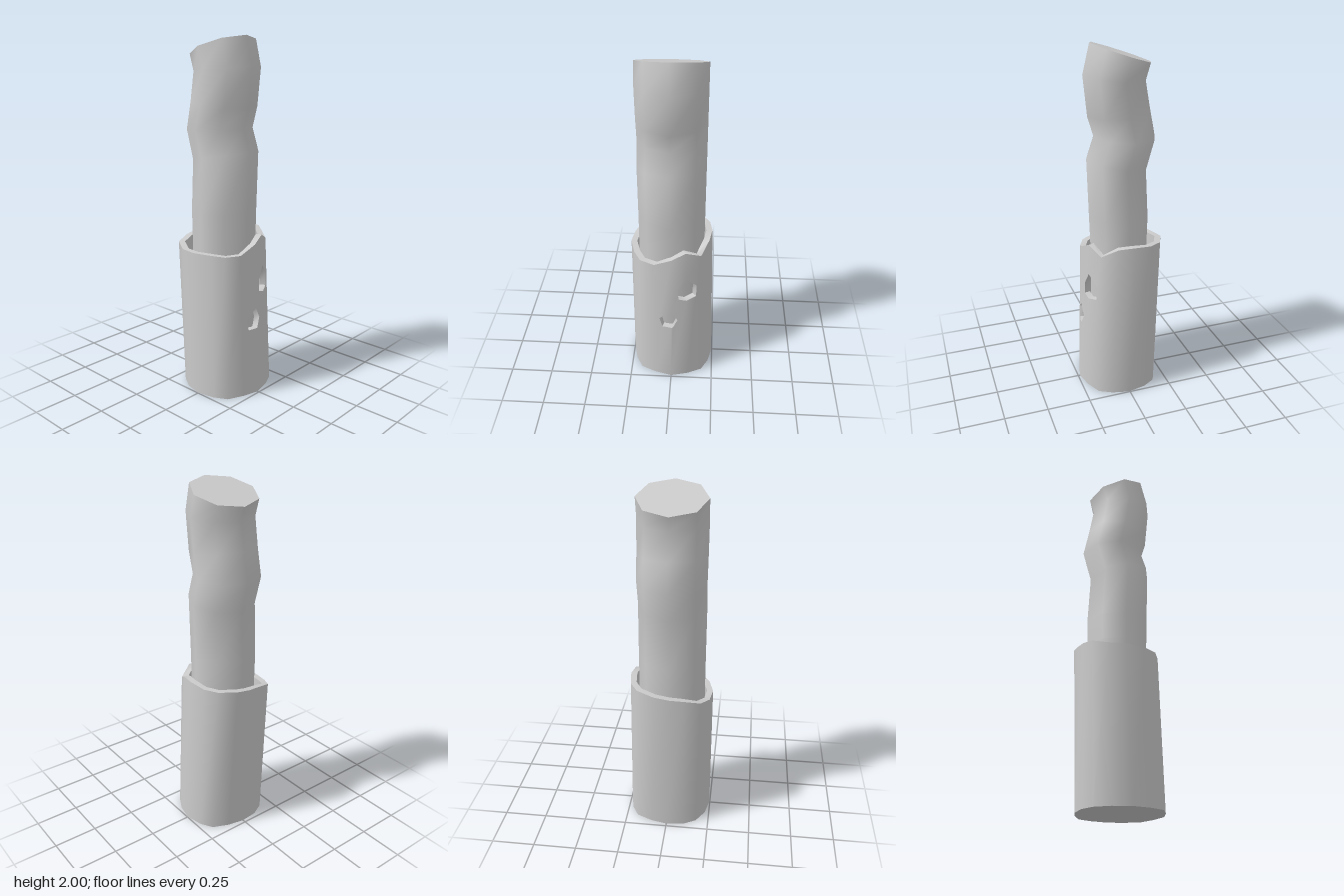
import * as THREE from 'three';
import { mergeGeometries, toCreasedNormals } from 'three/addons/utils/BufferGeometryUtils.js';

const CREASE = Math.PI / 3;
const WALL = 0.035;
const lerp = THREE.MathUtils.lerp;

// Sleeve columns, from the front round by +x: bottom x, z, then top x, z, and rim height
const COLUMNS = [
  [0, 0.24, 0, 0.205, 0.88],
  [0.1, 0.215, 0.08, 0.19, 0.92],
  [0.185, 0.175, 0.165, 0.145, 0.875],
  [0.225, 0.1, 0.21, 0.06, 0.925],
  [0.247, 0.005, 0.225, -0.03, 0.93],
  [0.225, -0.1, 0.21, -0.13, 0.92],
  [0.185, -0.17, 0.165, -0.2, 0.915],
  [0.095, -0.21, 0.065, -0.245, 0.905],
  [0, -0.23, -0.02, -0.243, 0.89],
  [-0.1, -0.22, -0.1, -0.23, 0.88],
  [-0.175, -0.18, -0.19, -0.205, 0.86],
  [-0.225, -0.1, -0.235, -0.125, 0.84],
  [-0.247, 0, -0.248, -0.03, 0.84],
  [-0.225, 0.1, -0.22, 0.08, 0.84],
  [-0.185, 0.175, -0.18, 0.15, 0.835],
  [-0.095, 0.215, -0.1, 0.19, 0.835],
];

// Each hole straddles a column: its halves as (u, y) on the panel before and the panel after
const HOLES = {
  0: {
    before: [[1, 0.39], [0.46, 0.39], [0.28, 0.45], [1, 0.51]],
    after: [[0, 0.39], [0.11, 0.39], [0.41, 0.445], [0, 0.51]],
  },
  1: {
    before: [[1, 0.585], [0.47, 0.6], [0.47, 0.665], [1, 0.74]],
    after: [[0, 0.585], [0.65, 0.6], [0.7, 0.675], [0, 0.74]],
  },
};

// Stick rings: front y, z and back y, z
const RINGS = [
  [0.02, 0.155, 0.02, -0.18],
  [0.9, 0.155, 0.9, -0.185],
  [1.05, 0.16, 1.05, -0.19],
  [1.39, 0.17, 1.33, -0.175],
  [1.51, 0.127, 1.5, -0.222],
  [1.62, 0.16, 1.66, -0.19],
  [1.84, 0.182, 1.81, -0.164],
  [2.0, 0.143, 1.89, -0.19],
];

// Point on a column at height y; depth 0 is the inner face, 1 the outer
function columnPoint(c, y, depth) {
  const t = y / 0.9;
  const x = lerp(c[0], c[2], t), z = lerp(c[1], c[3], t);
  const k = 1 - (1 - depth) * WALL / Math.hypot(x, z);
  return new THREE.Vector3(x * k, y, z * k);
}

// One flat wall panel, cut by the hole halves on its edges
function panel(i) {
  const j = (i + 1) % COLUMNS.length;
  const a = COLUMNS[i], b = COLUMNS[j];
  const outline = [
    [0, 0], [1, 0], ...(HOLES[j]?.before ?? []),
    [1, b[4]], [0, a[4]], ...[...(HOLES[i]?.after ?? [])].reverse(),
  ];
  const shape = new THREE.Shape(outline.map(([u, y]) => new THREE.Vector2(u, y)));
  const p = new THREE.ExtrudeGeometry(shape, { depth: 1, bevelEnabled: false }).attributes.position;
  const out = [];
  for (let t = 0; t < p.count; t += 3) {
    const ids = [t, t + 1, t + 2];
    // leave out the hidden seams between panels
    if ([0, 1].some((e) => ids.every((k) => Math.abs(p.getX(k) - e) < 1e-5))) continue;
    for (const k of ids) {
      const y = p.getY(k), d = p.getZ(k);
      out.push(...columnPoint(a, y, d).lerp(columnPoint(b, y, d), p.getX(k)).toArray());
    }
  }
  return new THREE.BufferGeometry().setAttribute('position', new THREE.Float32BufferAttribute(out, 3));
}

function sleeveGeometry() {
  return toCreasedNormals(mergeGeometries(COLUMNS.map((_, i) => panel(i))), CREASE);
}

// Floor closing the bottom of the sleeve
function floorGeometry() {
  const shape = new THREE.Shape(COLUMNS.map((c) => {
    const p = columnPoint(c, 0, 0);
    return new THREE.Vector2(p.x, p.z);
  }));
  return new THREE.ShapeGeometry(shape).rotateX(Math.PI / 2);
}

// Eight-sided wavy stick with a slanted end
function stickGeometry() {
  const n = RINGS.length - 1;
  const g = new THREE.CylinderGeometry(1, 1, 1, 8, n);
  const p = g.attributes.position;
  for (let i = 0; i < p.count; i++) {
    const [fy, fz, by, bz] = RINGS[Math.round((p.getY(i) + 0.5) * n)];
    const f = (p.getZ(i) + 1) / 2;
    p.setXYZ(i, -0.01 + 0.19 * p.getX(i), lerp(by, fy, f), lerp(bz, fz, f));
  }
  return toCreasedNormals(g, CREASE);
}

export function createModel() {
  const group = new THREE.Group();
  const grey = new THREE.MeshStandardMaterial({ color: 0xcccccc });
  const thin = new THREE.MeshStandardMaterial({ color: 0xcccccc, side: THREE.DoubleSide });
  const add = (name, geometry, material) => {
    const mesh = new THREE.Mesh(geometry, material);
    mesh.name = name;
    group.add(mesh);
  };
  add('sleeve', sleeveGeometry(), grey);
  add('sleeveFloor', floorGeometry(), thin);
  add('stick', stickGeometry(), grey);
  return group;
}
